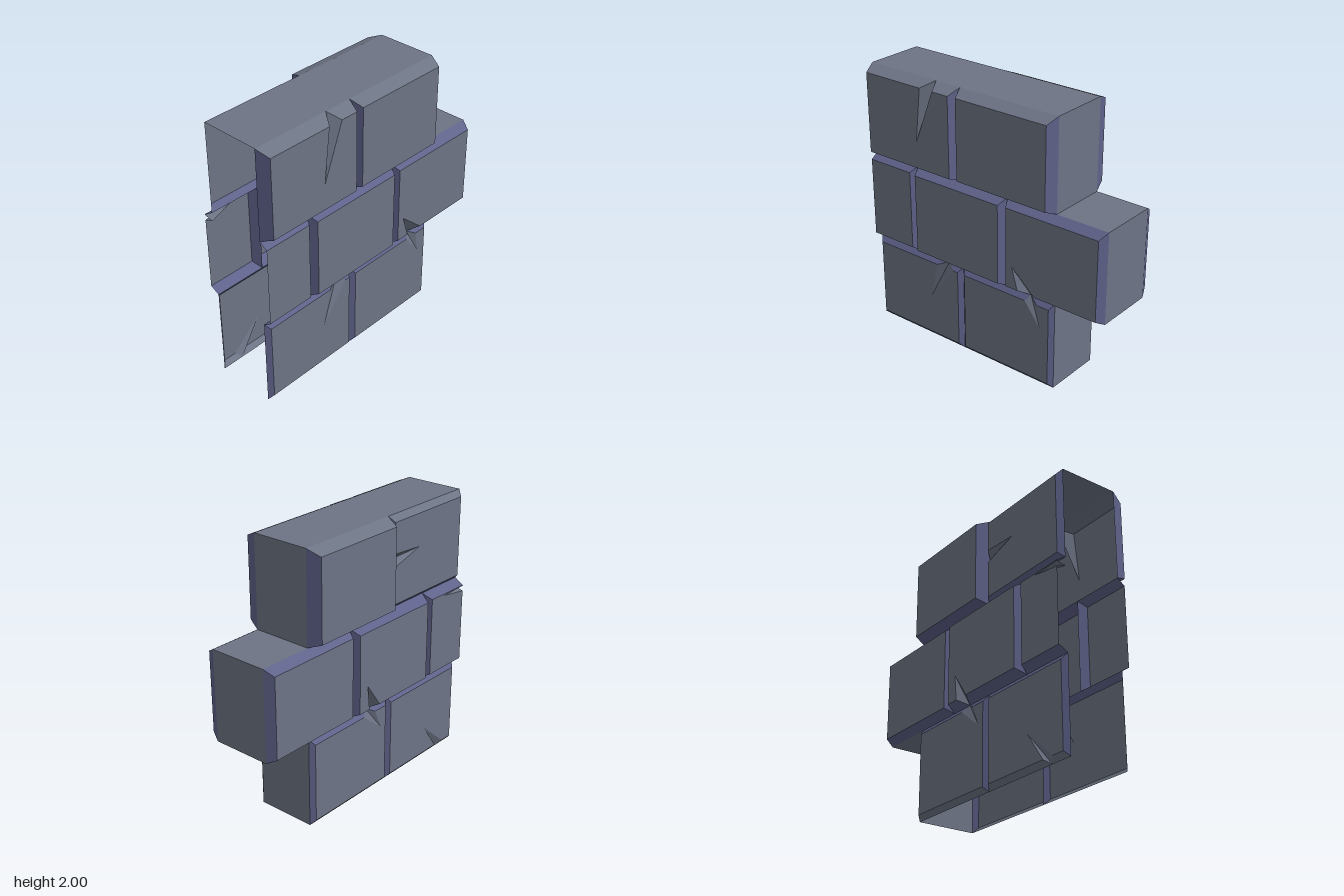
import * as THREE from 'three';

const stone = new THREE.MeshStandardMaterial({ color: 0x6d7485, side: THREE.DoubleSide });
stone.name = 'grey stone';
const mortar = new THREE.MeshStandardMaterial({ color: 0x5f628a, side: THREE.DoubleSide });
mortar.name = 'violet grey joint';

const BASE = 0.22; // depth of the joints
const ROWS = [0, 0.667, 1.333, 2];

// Courses from the bottom up: vertical joints and how far each brick stands out
const COURSES = [
  { joints: [-1, -0.2, 0.6], front: [0.252, 0.252], back: [0.252, 0.252] },
  { joints: [-1, -0.6, 0.2, 1], front: [0.28, 0.295, 0.288], back: [0.29, 0.3, 0.29] },
  { joints: [-1, -0.2, 0.6], front: [0.315, 0.31], back: [0.26, 0.32] },
];

// V-shaped cracks: brick, the side they start from (0 bottom, 1 right, 2 top, 3 left),
// deepest point along that side, middle and half width of the mouth, and tip
const CRACKS = [
  { brick: 'front 2 0', side: 2, deep: -0.41, mid: -0.42, half: 0.055, tip: [-0.52, 1.56] },
  { brick: 'front 1 2', side: 0, deep: 0.4, mid: 0.405, half: 0.07, tip: [0.285, 0.87] },
  { brick: 'front 0 0', side: 2, deep: -0.33, mid: -0.345, half: 0.075, tip: [-0.485, 0.345] },
  { brick: 'front 0 1', side: 2, deep: 0.4, mid: 0.42, half: 0.05, tip: [0.5, 0.455] },
  { brick: 'back 2 0', side: 1, deep: 1.69, mid: 1.688, half: 0.048, tip: [-0.5, 1.72] },
  { brick: 'back 1 0', side: 3, deep: 1.27, mid: 1.265, half: 0.02, tip: [-0.77, 1.28] },
  { brick: 'back 1 1', side: 0, deep: 0.02, mid: 0.015, half: 0.055, tip: [0.09, 0.89] },
  { brick: 'back 0 0', side: 0, deep: -0.83, mid: -0.825, half: 0.045, tip: [-0.63, 0.25] },
  { brick: 'back 0 1', side: 2, deep: 0.02, mid: 0.01, half: 0.06, tip: [-0.12, 0.47] },
];

// Flat-shaded mesh from a list of triangle corners
function facetMesh(name, points, material) {
  const geo = new THREE.BufferGeometry().setFromPoints(points);
  geo.computeVertexNormals();
  const mesh = new THREE.Mesh(geo, material);
  mesh.name = name;
  return mesh;
}

// Bevelled brick face; s is 1 on the front and -1 on the back
function brick(face, row, col) {
  const s = face === 'front' ? 1 : -1;
  const course = COURSES[row];
  const depth = course[face][col];
  const [x0, x1] = course.joints.slice(col, col + 2);
  const [y0, y1] = ROWS.slice(row, row + 2);
  const cut = row === 1 && col === 0; // half brick without a left bevel
  const box = (l, b, r, t) => [[l, b], [r, b], [r, t], [l, t]];
  const outer = box(x0, y0, x1, y1);
  const inner = box(x0 + (cut ? 0 : 0.032), y0 + 0.037, x1 - 0.03, y1 - 0.042);
  const P = ([x, y], z) => new THREE.Vector3(x, y, s * z);
  const grey = [], violet = [], contour = [];

  // every facet is turned to look outward
  const tri = (list, a, b, c) => {
    const nz = (b.x - a.x) * (c.y - a.y) - (b.y - a.y) * (c.x - a.x);
    list.push(...(nz * s > 0 ? [a, b, c] : [a, c, b]));
  };
  const quad = (list, a, b, c, d) => { tri(list, a, b, c); tri(list, a, c, d); };

  for (let i = 0; i < 4; i++) {
    const j = (i + 1) % 4;
    const o0 = P(outer[i], BASE), o1 = P(outer[j], BASE);
    const i0 = P(inner[i], depth), i1 = P(inner[j], depth);
    const onRim = (row === 2 && i === 2) || (row === 0 && i === 0);
    const list = onRim ? grey : violet;
    const bevelled = !(cut && i === 3);
    const crack = CRACKS.find((c) => c.brick === `${face} ${row} ${col}` && c.side === i);
    contour.push(i0);
    if (crack) {
      const along = (corner, v) => (i % 2 ? [corner[0], v] : [v, corner[1]]);
      const half = i < 2 ? crack.half : -crack.half;
      const a = P(along(inner[i], crack.mid - half), depth);
      const b = P(along(inner[i], crack.mid + half), depth);
      const tip = P(crack.tip, depth);
      const apex = P(along(outer[i], crack.deep), BASE);
      contour.push(a, tip, b);
      tri(grey, a, tip, apex);
      tri(grey, tip, b, apex);
      if (bevelled) {
        quad(list, o0, apex, a, i0);
        quad(list, apex, o1, i1, b);
      }
    } else if (bevelled) {
      quad(list, o0, o1, i1, i0);
    }
  }
  const flat = contour.map((p) => new THREE.Vector2(p.x, p.y));
  for (const [a, b, c] of THREE.ShapeUtils.triangulateShape(flat, [])) {
    tri(grey, contour[a], contour[b], contour[c]);
  }
  const group = new THREE.Group();
  group.name = `${face}Brick`;
  group.add(facetMesh('brickFace', grey, stone), facetMesh('brickBevel', violet, mortar));
  return group;
}

export function createModel() {
  const model = new THREE.Group();
  model.name = 'brickWall';

  // Stepped top and end faces; the left end and the underside stay open
  const outline = [[-1, 2], [0.6, 2], [0.6, ROWS[2]], [1, ROWS[2]], [1, ROWS[1]], [0.6, ROWS[1]], [0.6, 0]];
  const ribbon = [];
  for (let i = 0; i < outline.length - 1; i++) {
    const [p, q] = [outline[i], outline[i + 1]];
    const a = new THREE.Vector3(...p, BASE), b = new THREE.Vector3(...q, BASE);
    const c = new THREE.Vector3(...q, -BASE), d = new THREE.Vector3(...p, -BASE);
    ribbon.push(a, b, c, a, c, d);
  }
  // turn the strip outward
  model.add(facetMesh('wallEnds', ribbon.reverse(), stone));

  // Bricks on both faces of the wall
  for (const face of ['front', 'back']) {
    COURSES.forEach((course, row) => {
      course[face].forEach((_, col) => model.add(brick(face, row, col)));
    });
  }
  return model;
}
